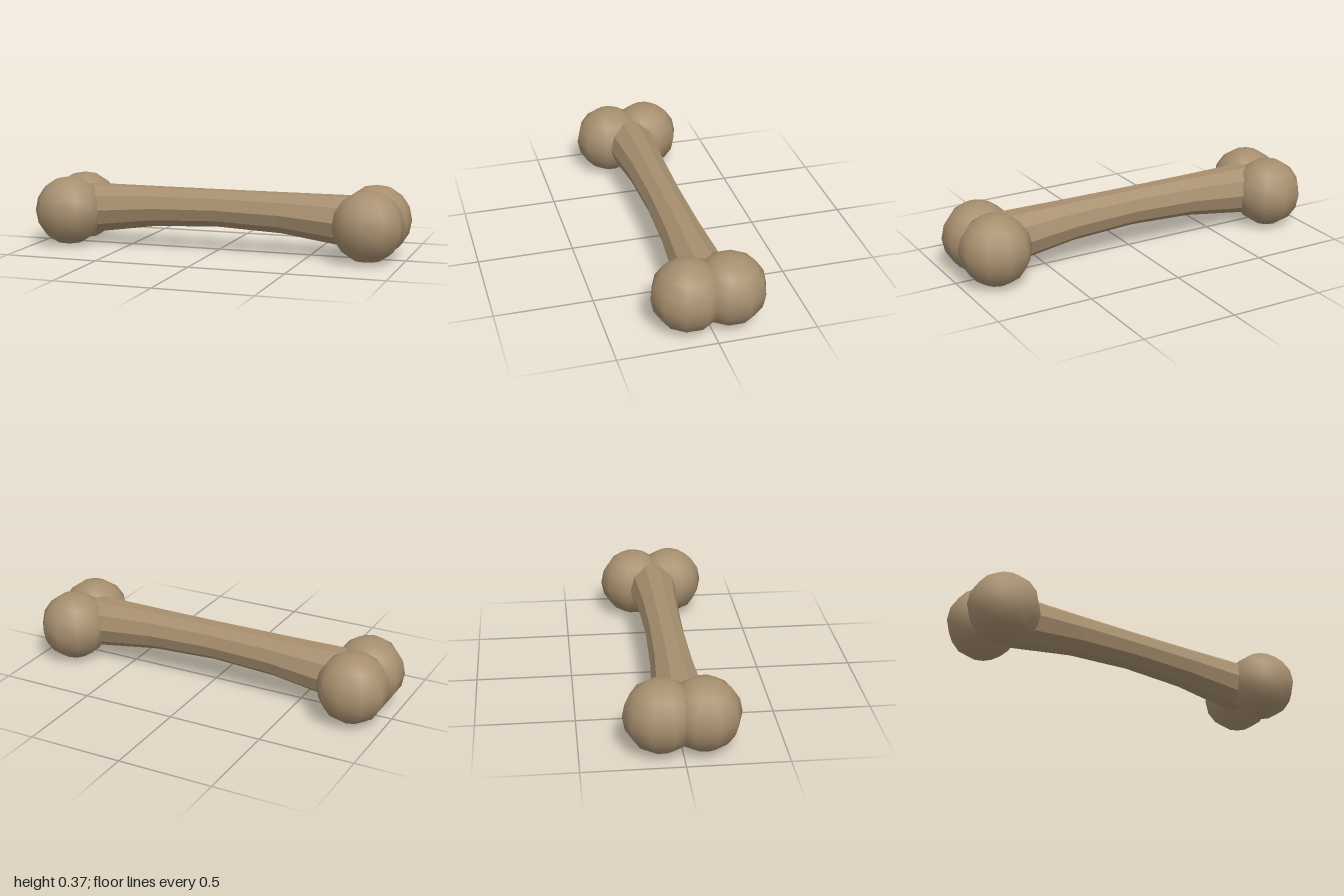
import * as THREE from 'three';

// Shaft stations: position along x and radius; the top stays level
const STATIONS = [[-0.8, 0.142], [-0.35, 0.109], [0, 0.101], [0.35, 0.109], [0.8, 0.142]];
const TOP = 0.32;

function shaftGeometry() {
  // Ten-sided unit cylinder laid along x, with a flat side on top
  const geometry = new THREE.CylinderGeometry(1, 1, 1, 10, STATIONS.length - 1);
  geometry.rotateZ(Math.PI / 2);
  const p = geometry.attributes.position;
  const flat = Math.sin(Math.PI * 0.4);
  for (let i = 0; i < p.count; i++) {
    const [x, r] = STATIONS[Math.round((p.getX(i) + 0.5) * (STATIONS.length - 1))];
    p.setXYZ(i, x, TOP - r * flat + p.getY(i) * r, p.getZ(i) * r);
  }
  geometry.computeVertexNormals();
  return geometry;
}

export function createModel() {
  const model = new THREE.Group();
  model.name = 'bone';

  const boneSmooth = new THREE.MeshStandardMaterial({ color: 0xa78f6f });
  boneSmooth.name = 'bone brown';

  // Shaft with crisp facets: unshared corners give each face its own normal
  const facets = shaftGeometry().toNonIndexed();
  facets.computeVertexNormals();
  const shaft = new THREE.Mesh(facets, boneSmooth);
  shaft.name = 'shaft';
  model.add(shaft);

  // Two rounded knobs at each end
  const knobGeometry = new THREE.SphereGeometry(0.185, 10, 8).rotateY(Math.PI / 2);
  for (const sx of [1, -1]) {
    for (const sz of [1, -1]) {
      const knob = new THREE.Mesh(knobGeometry, boneSmooth);
      knob.name = (sz > 0 ? 'front' : 'back') + (sx > 0 ? 'Left' : 'Right') + 'Knob';
      knob.position.set(sx * 0.823, 0.186, sz * 0.104);
      knob.rotation.y = sz > 0 ? 0 : Math.PI;
      model.add(knob);
    }
  }
  return model;
}
